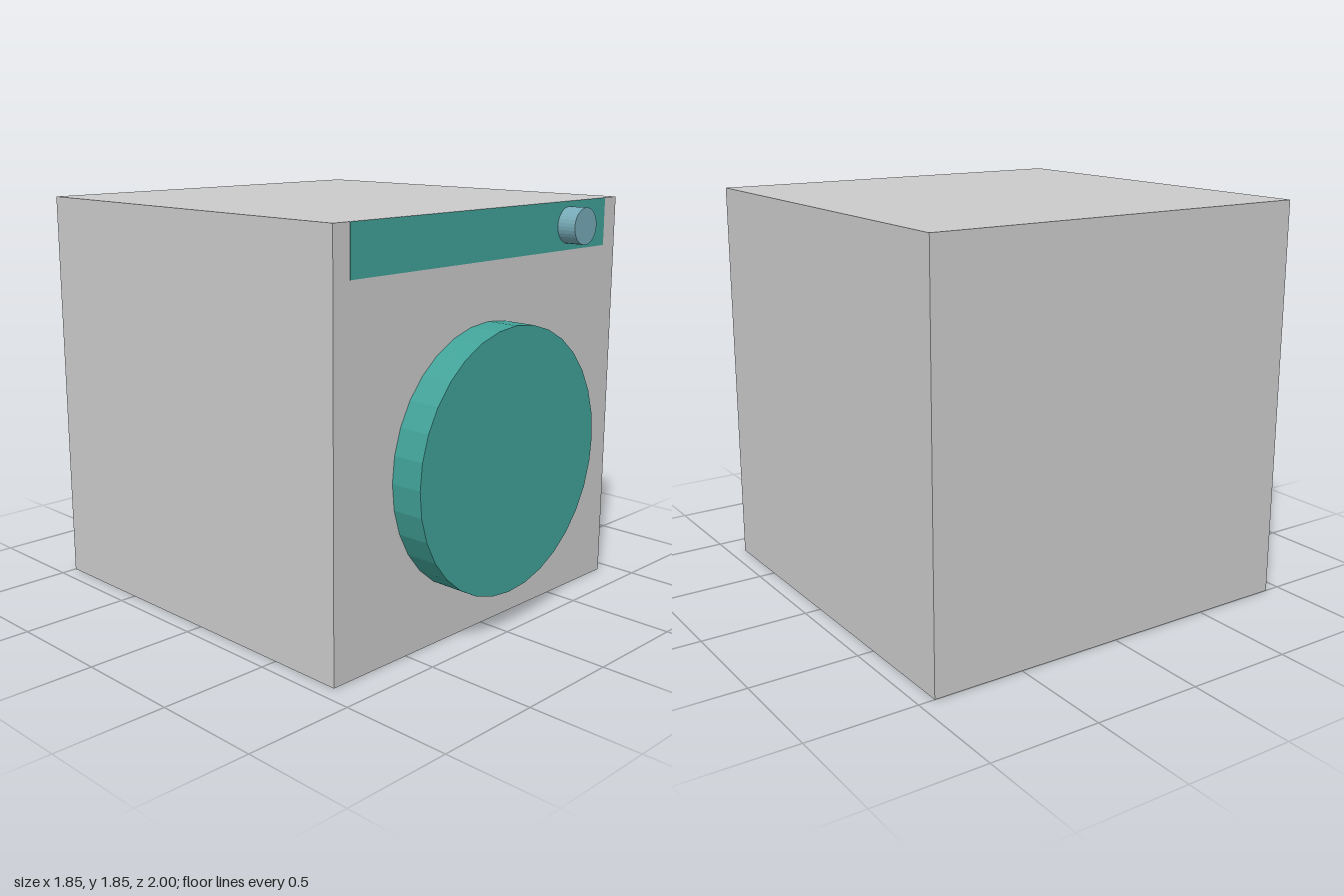
import * as THREE from 'three';

const material = (color) => new THREE.MeshStandardMaterial({ color, flatShading: true });

export function createModel() {
  const group = new THREE.Group();
  const grey = material(0xcccccc);
  const teal = material(0x41a399);
  const blue = material(0x76abb8);
  const frontZ = 0.85;

  const add = (name, geometry, mat, x, y, z) => {
    const mesh = new THREE.Mesh(geometry, mat);
    mesh.name = name;
    mesh.position.set(x, y, z);
    group.add(mesh);
  };

  // Round part standing out from the front face by the given depth
  const addDisc = (name, radius, depth, mat, x, y) => {
    const geometry = new THREE.CylinderGeometry(radius, radius, depth, 32).rotateX(Math.PI / 2);
    add(name, geometry, mat, x, y, frontZ + depth / 2);
  };

  // Cabinet
  add('cabinet', new THREE.BoxGeometry(1.85, 1.85, 1.85), grey, 0, 0.925, frontZ - 0.925);

  // Control panel set into the top of the front, a hair proud of the face
  add('controlPanel', new THREE.BoxGeometry(1.67, 0.218, 0.09), teal, 0, 1.74, frontZ - 0.043);

  // Round door and dial
  addDisc('door', 0.592, 0.15, teal, 0, 0.78);
  addDisc('dial', 0.083, 0.093, blue, 0.555, 1.743);

  return group;
}
